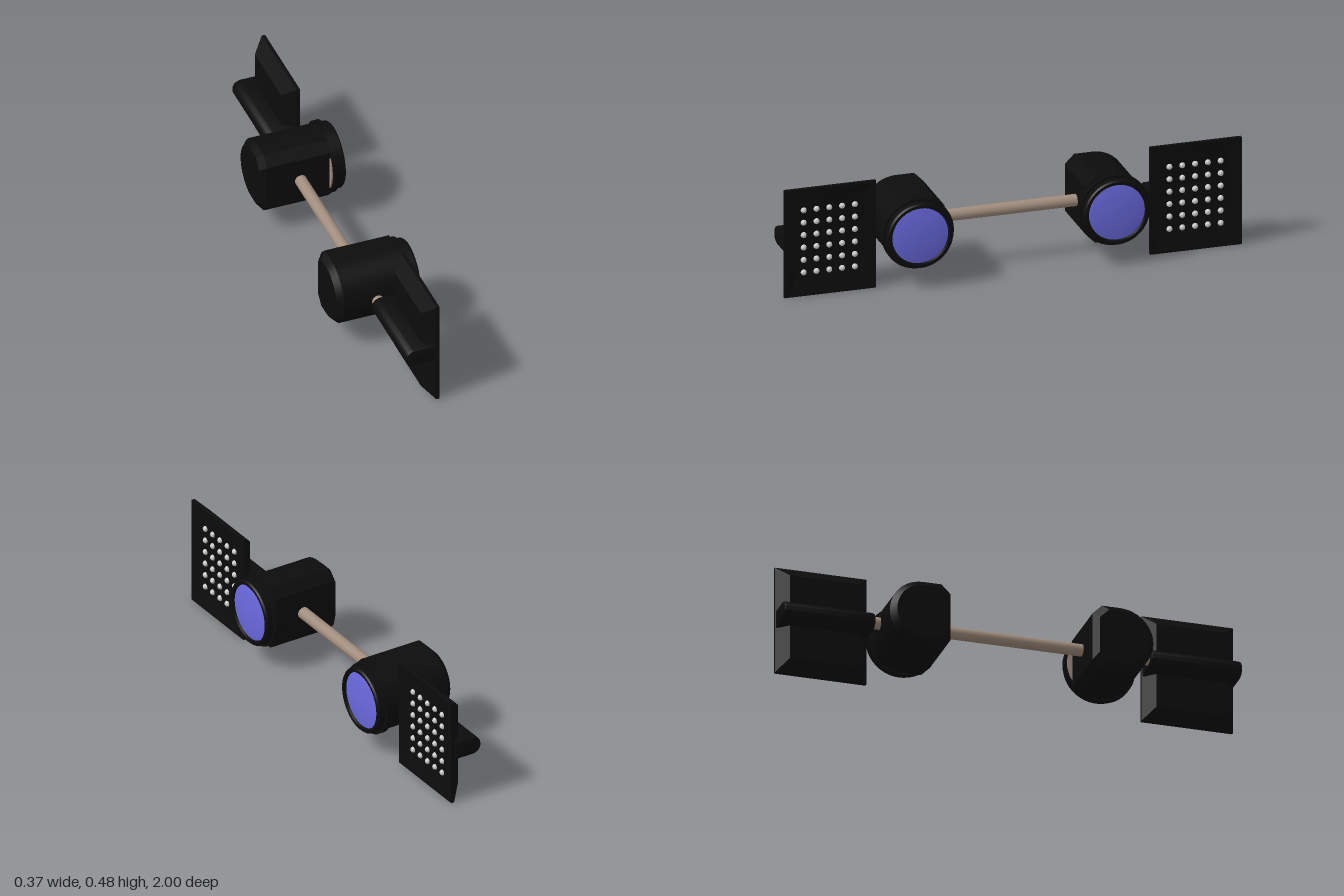
import * as THREE from 'three';
import { toCreasedNormals } from 'three/addons/utils/BufferGeometryUtils.js';

const MID = 0.24; // height of the rod axis
const mat = (color) => new THREE.MeshStandardMaterial({ color });
const black = mat(0x0c0c0c), tan = mat(0xa08c7c), blue = mat(0x6a6ae0), white = mat(0xdddddd);

function add(parent, name, geometry, material, x = 0, y = 0, z = 0) {
  const mesh = new THREE.Mesh(geometry, material);
  mesh.name = name;
  mesh.position.set(x, y, z);
  parent.add(mesh);
  return mesh;
}

// Skin through convex sections [x, points], each point [z, y], counter-clockwise seen from +x
function loft(sections) {
  const pos = [];
  const put = (s, j) => pos.push(s[0], s[1][j % s[1].length][1], s[1][j % s[1].length][0]);
  const n = sections[0][1].length, first = sections[0], last = sections[sections.length - 1];
  for (let i = 0; i + 1 < sections.length; i++) {
    const a = sections[i], b = sections[i + 1];
    for (let j = 0; j < n; j++) {
      put(a, j); put(a, j + 1); put(b, j);
      put(a, j + 1); put(b, j + 1); put(b, j);
    }
  }
  for (let j = 1; j + 1 < n; j++) {
    put(first, 0); put(first, j + 1); put(first, j);
    put(last, 0); put(last, j); put(last, j + 1);
  }
  const g = new THREE.BufferGeometry();
  g.setAttribute('position', new THREE.Float32BufferAttribute(pos, 3));
  return toCreasedNormals(g, 0.4);
}

// Rectangular panel section, shrunk by inset
function panelSection(inset) {
  const z = 0.2 - inset, y = MID - inset;
  return [[-z, -y], [-z, y], [z, y], [z, -y]];
}

// Housing section: round on the outer side, chamfered box on the inner side
function housingSection(inset) {
  const r = 0.145 - inset, inner = -0.12 + inset, c = 0.04;
  const pts = [[inner, -r + c], [inner, r - c], [inner + c, r]];
  for (let i = 0; i <= 24; i++) {
    const t = Math.PI / 2 - (i / 24) * Math.PI;
    pts.push([r * Math.cos(t), r * Math.sin(t)]);
  }
  pts.push([inner + c, -r]);
  return pts;
}

// Lathe turned so that its axis points along +x
function turned(profile) {
  const g = new THREE.LatheGeometry(profile.map(([r, x]) => new THREE.Vector2(r, x)), 48);
  return toCreasedNormals(g.rotateZ(-Math.PI / 2), 0.4);
}

function createLamp() {
  const lamp = new THREE.Group();
  lamp.name = 'lamp';
  lamp.position.z = 0.43;
  add(lamp, 'lampHousing', loft([
    [-0.185, housingSection(0.025)], [-0.16, housingSection(0)], [0.127, housingSection(0)],
  ]), black);
  // Stepped bezel with a hollow front
  add(lamp, 'lampBezel', turned([
    [0, 0.125], [0.155, 0.125], [0.155, 0.15], [0.144, 0.15], [0.144, 0.178],
    [0.138, 0.185], [0.126, 0.185], [0.121, 0.17], [0, 0.17],
  ]), black);
  // Thin seal showing behind the bezel
  add(lamp, 'lampSeal', turned([[0, 0.119], [0.143, 0.119], [0.143, 0.126]]), tan);
  // Slightly domed glass
  add(lamp, 'lampLens', turned([
    [0.123, 0.174], [0.1, 0.178], [0.07, 0.181], [0.035, 0.183], [0, 0.184],
  ]), blue);
  return lamp;
}

function createLightPanel() {
  const panel = new THREE.Group();
  panel.name = 'lightPanel';
  panel.position.z = 0.8;
  // Chamfered back, flat rim, shallow dished front
  add(panel, 'panelCase', loft([
    [0.035, panelSection(0.05)], [0.085, panelSection(0)], [0.1, panelSection(0)],
    [0.1, panelSection(0.01)], [0.086, panelSection(0.045)],
  ]), black);

  // Round-backed mounting arm running the width of the panel
  const b = 0.01, r = 0.04 - b;
  const s = new THREE.Shape();
  s.moveTo(0.07, -r);
  s.lineTo(0.07, r);
  s.lineTo(-0.01, r);
  s.absarc(-0.01, 0, r, Math.PI / 2, Math.PI * 1.5, false);
  const arm = new THREE.ExtrudeGeometry(s, {
    depth: 0.4 - 2 * b, bevelSize: b, bevelThickness: b, bevelSegments: 2, curveSegments: 16,
  });
  arm.translate(0, 0, b - 0.2);
  add(panel, 'mountingArm', toCreasedNormals(arm, 0.5), black);

  // Grid of small bulbs
  const bulb = new THREE.SphereGeometry(0.013, 12, 8);
  for (let i = 0; i < 5; i++)
    for (let j = 0; j < 6; j++)
      add(panel, 'bulb', bulb, white, 0.086, (j - 2.5) * 0.0557, (i - 2) * 0.056);
  return panel;
}

export function createModel() {
  const model = new THREE.Group();
  model.name = 'lightBar';
  const rod = new THREE.CylinderGeometry(0.026, 0.026, 1.24, 24).rotateX(Math.PI / 2);
  add(model, 'crossRod', rod, tan, -0.01, MID, 0);

  // The two ends match by a half turn about the x axis
  for (const name of ['frontEnd', 'backEnd']) {
    const end = new THREE.Group();
    end.name = name;
    end.position.y = MID;
    if (name === 'backEnd') end.rotation.x = Math.PI;
    end.add(createLamp(), createLightPanel());
    model.add(end);
  }
  return model;
}
